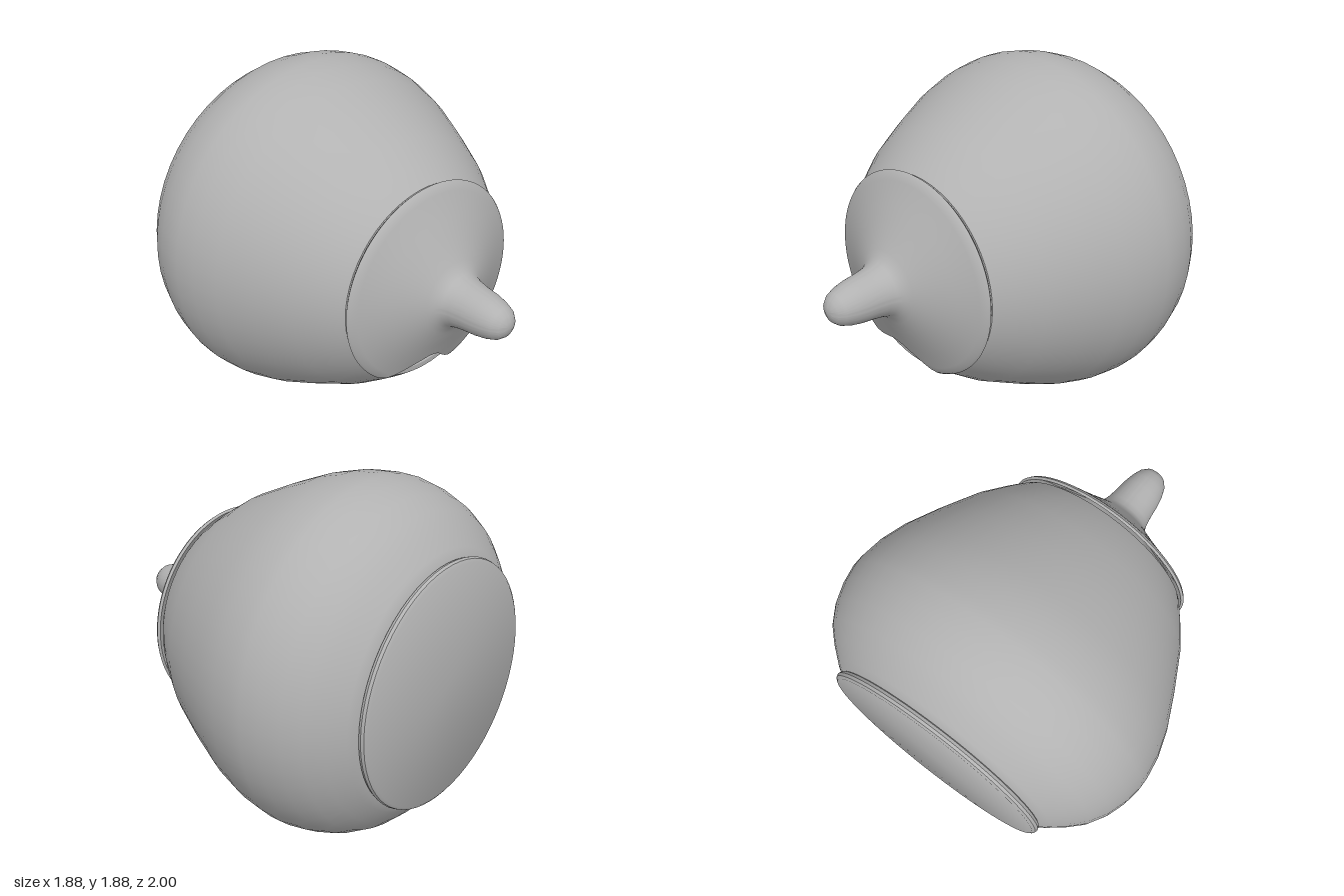
import * as THREE from 'three';
import { mergeVertices, toCreasedNormals } from 'three/addons/utils/BufferGeometryUtils.js';

const AXIS_Y = 0.94; // height of the bowl's lying axis

// Piecewise-linear lookup in a list of [input, output] pairs
function lookup(table, v) {
  if (v <= table[0][0]) return table[0][1];
  for (let i = 1; i < table.length; i++) {
    const [a, fa] = table[i - 1], [b, fb] = table[i];
    if (v <= b) return fa + (fb - fa) * (v - a) / (b - a);
  }
  return table[table.length - 1][1];
}

// Turn a [radius, z] profile around the z axis, optionally warping its vertices
function turned(profile, segments, warp) {
  const points = profile.map(([r, z]) => new THREE.Vector2(r, z));
  let geo = new THREE.LatheGeometry(points, segments, Math.PI);
  geo.rotateX(Math.PI / 2);
  if (warp) warp(geo.attributes.position);
  geo.deleteAttribute('uv');
  geo.deleteAttribute('normal');
  geo = mergeVertices(geo, 1e-5);
  return toCreasedNormals(geo, 0.6);
}

export function createModel() {
  const model = new THREE.Group();
  model.name = 'sugarBowl';
  const grey = new THREE.MeshStandardMaterial({ color: 0xb2b2b2 });
  grey.name = 'grey ceramic';

  function add(name, geometry) {
    const mesh = new THREE.Mesh(geometry, grey);
    mesh.name = name;
    mesh.position.y = AXIS_Y;
    model.add(mesh);
  }

  // Foot ring: closed disc with softened edges
  add('foot', turned([
    [0, -1], [0.625, -1], [0.64, -0.99], [0.645, -0.975], [0.64, -0.96], [0.625, -0.95], [0, -0.95],
  ], 64));

  // Bowl: outer wall, rim, then hollow inside
  add('bowl', turned([
    [0, -0.955], [0.635, -0.955], [0.68, -0.925], [0.76, -0.86], [0.83, -0.79], [0.885, -0.7],
    [0.92, -0.6], [0.938, -0.5], [0.938, -0.44], [0.922, -0.32], [0.88, -0.18], [0.8, 0],
    [0.7, 0.2], [0.61, 0.33], [0.56, 0.395], [0.54, 0.418], [0.51, 0.42], [0.485, 0.405],
    [0.53, 0.33], [0.64, 0.18], [0.74, 0], [0.83, -0.25], [0.875, -0.47], [0.82, -0.7],
    [0.6, -0.88], [0, -0.92],
  ], 56));

  // Lid: domed shell flowing into a knob
  const dome = [
    [0.555, 0.442], [0.545, 0.456], [0.51, 0.473], [0.46, 0.495], [0.4, 0.526], [0.33, 0.56],
    [0.26, 0.597], [0.2, 0.628], [0.165, 0.65], [0.143, 0.675], [0.132, 0.71],
  ];
  const knob = [
    [0.122, 0.77], [0.115, 0.84], [0.103, 0.9], [0.085, 0.95], [0.06, 0.98], [0.03, 0.994], [0, 1],
  ];
  const underside = dome.slice(1, -2).reverse().map(([r, z]) => [r, z - 0.025]);
  const domeHeight = [...dome].reverse();

  // Spoon notch: lid radius by angle in degrees from straight down
  const notch = [
    [-36, 0.555], [-32, 0.53], [-25, 0.474], [-18, 0.42], [-12, 0.388], [-6, 0.382],
    [0, 0.398], [6, 0.442], [12, 0.497], [17, 0.542], [21, 0.555],
  ];
  const inner = 0.2;
  function cutNotch(pos) {
    for (let i = 0; i < pos.count; i++) {
      const x = pos.getX(i), y = pos.getY(i), r = Math.hypot(x, y);
      if (r <= inner) continue;
      const limit = lookup(notch, Math.atan2(x, -y) * 180 / Math.PI);
      const s = inner + (r - inner) * (limit - inner) / (0.555 - inner);
      const lift = lookup(domeHeight, s) - lookup(domeHeight, r);
      pos.setXYZ(i, x * s / r, y * s / r, pos.getZ(i) + lift);
    }
  }
  add('lid', turned([[0, 0.62], ...underside, ...dome, ...knob], 96, cutNotch));

  return model;
}
